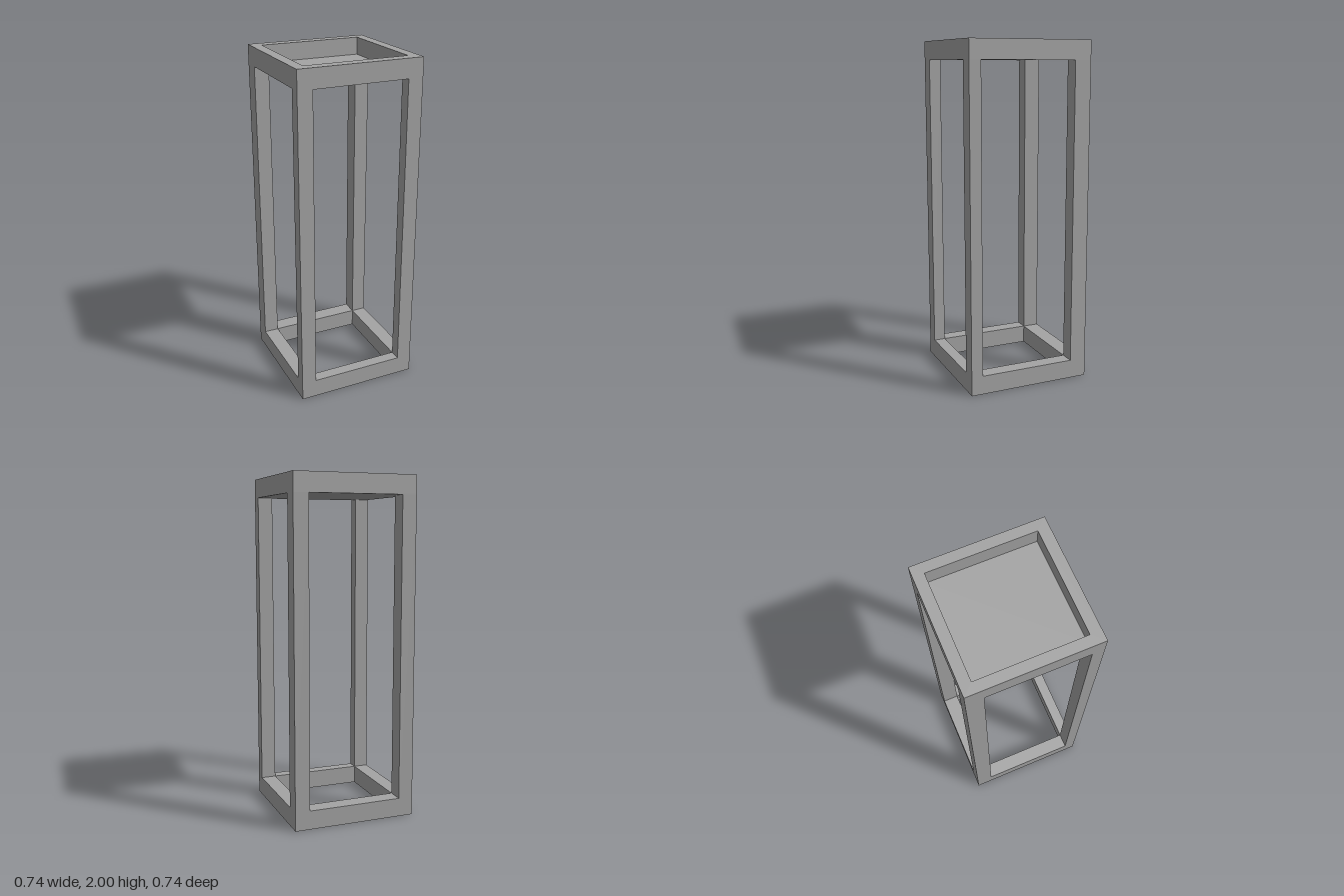
import * as THREE from 'three';

const HALF = 0.369;                                       // half width of the square plan
const BAY = { x0: -0.281, x1: 0.28, z0: -0.27, z1: 0.3 };       // clear space between the posts
const TRAY = { x0: -0.307, x1: 0.307, z0: -0.306, z1: 0.304 };  // recess in the top
const Y_LOW = 0.11, Y_HIGH = 1.888, Y_FLOOR = 1.897, Y_TOP = 2;

export function createModel() {
  const model = new THREE.Group();
  model.name = 'openFrameStand';
  const material = new THREE.MeshStandardMaterial({ color: 0xa4a4a4 });

  const add = (name, geometry) => {
    const mesh = new THREE.Mesh(geometry, material);
    mesh.name = name;
    model.add(mesh);
  };

  const box = (name, x0, x1, y0, y1, z0, z1) => add(name,
    new THREE.BoxGeometry(x1 - x0, y1 - y0, z1 - z0)
      .translate((x0 + x1) / 2, (y0 + y1) / 2, (z0 + z1) / 2));

  // Flat square ring with a rectangular hole, lying between two heights
  const ring = (name, hole, y0, y1) => {
    const shape = new THREE.Shape();
    shape.moveTo(-HALF, -HALF).lineTo(HALF, -HALF).lineTo(HALF, HALF).lineTo(-HALF, HALF).closePath();
    const path = new THREE.Path();
    path.moveTo(hole.x0, -hole.z0).lineTo(hole.x1, -hole.z0)
      .lineTo(hole.x1, -hole.z1).lineTo(hole.x0, -hole.z1).closePath();
    shape.holes.push(path);
    add(name, new THREE.ExtrudeGeometry(shape, { depth: y1 - y0, bevelEnabled: false })
      .rotateX(-Math.PI / 2).translate(0, y0, 0));
  };

  // Base frame and the rim around the top tray
  ring('baseFrame', BAY, 0, Y_LOW);
  ring('topRim', TRAY, Y_FLOOR, Y_TOP);

  // Thin floor of the tray, flush with the underside of the top
  box('trayFloor', -HALF, HALF, Y_HIGH, Y_FLOOR, -HALF, HALF);

  // Corner posts, the rear pair deeper than the front pair
  for (const [side, x0, x1] of [['Left', BAY.x1, HALF], ['Right', -HALF, BAY.x0]]) {
    box('front' + side + 'Post', x0, x1, Y_LOW, Y_HIGH, BAY.z1, HALF);
    box('back' + side + 'Post', x0, x1, Y_LOW, Y_HIGH, -HALF, BAY.z0);
  }
  return model;
}
